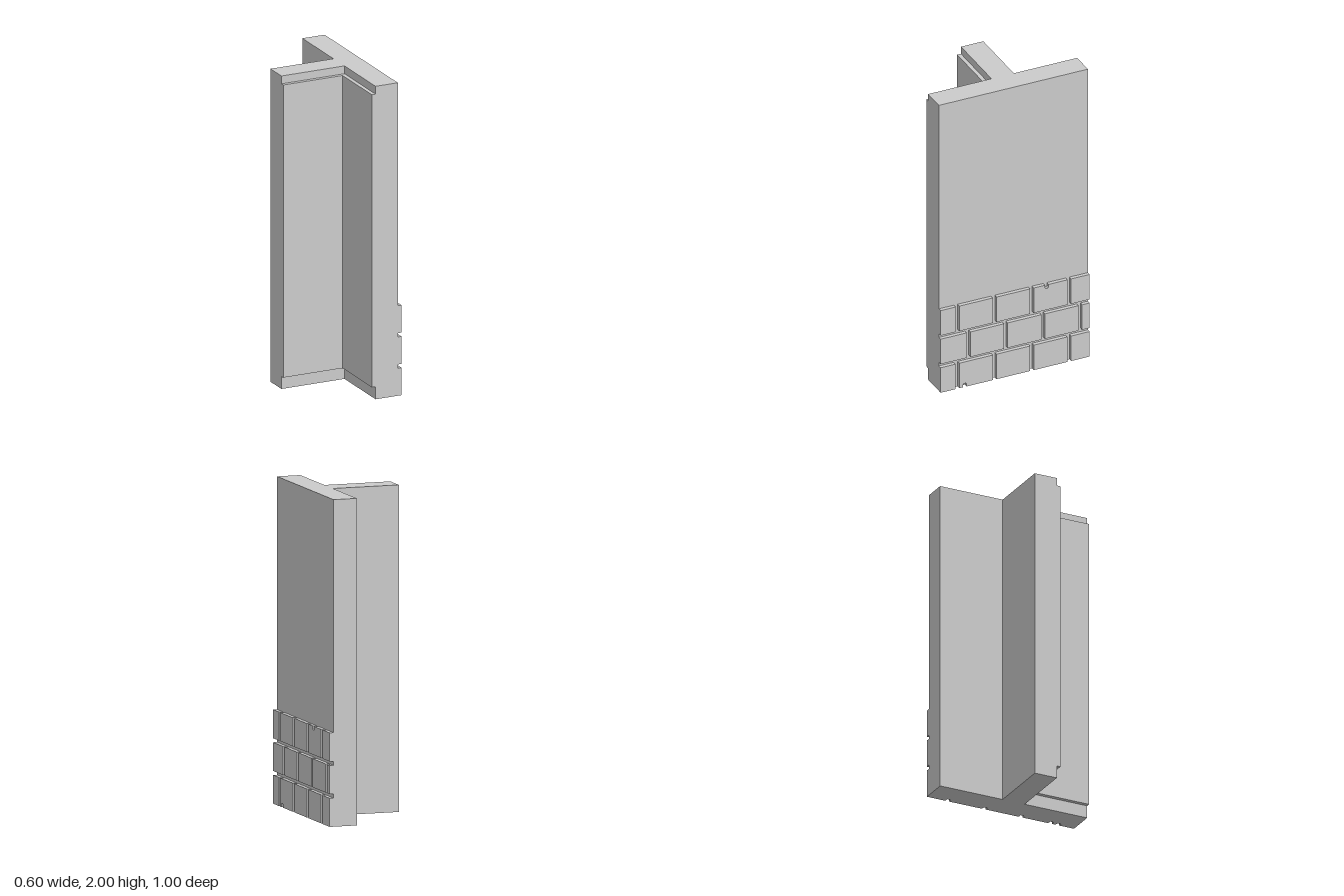
import * as THREE from 'three';

const material = new THREE.MeshStandardMaterial({ color: 0xcccccc, flatShading: true });

// Upright prism from a plan outline of [x, z] points
function prism(name, plan, y0, y1) {
  const shape = new THREE.Shape(plan.map(([x, z]) => new THREE.Vector2(x, -z)));
  const geo = new THREE.ExtrudeGeometry(shape, { depth: y1 - y0, bevelEnabled: false });
  geo.rotateX(-Math.PI / 2).translate(0, y0, 0);
  const mesh = new THREE.Mesh(geo, material);
  mesh.name = name;
  return mesh;
}

// Brick on the outer wall face; u runs along -z. A notch cuts into the top or bottom edge.
function brick(u0, u1, y0, y1, notch) {
  const pts = [[u0, y0]];
  const cut = (edge, dir, a, b) => {
    const s = Math.sign(b - a) * 0.006;
    pts.push([a, edge], [a, edge + dir * 0.019], [a + s, edge + dir * 0.025],
      [b - s, edge + dir * 0.025], [b, edge + dir * 0.019], [b, edge]);
  };
  if (notch?.side === 'bottom') cut(y0, 1, notch.a, notch.b);
  pts.push([u1, y0], [u1, y1]);
  if (notch?.side === 'top') cut(y1, -1, notch.b, notch.a);
  pts.push([u0, y1]);
  const shape = new THREE.Shape(pts.map(([u, y]) => new THREE.Vector2(u, y)));
  const geo = new THREE.ExtrudeGeometry(shape, { depth: 0.025, bevelEnabled: false });
  geo.rotateY(Math.PI / 2).translate(0.275, 0, 0);
  const mesh = new THREE.Mesh(geo, material);
  mesh.name = 'brick';
  return mesh;
}

export function createModel() {
  const model = new THREE.Group();
  model.name = 'wallJunction';

  // T-shaped wall core
  model.add(prism('wallCore', [
    [0.275, 0.5], [0.275, -0.5], [0.125, -0.5], [0.125, -0.075],
    [-0.3, -0.075], [-0.3, 0.075], [0.125, 0.075], [0.125, 0.5],
  ], 0, 2));

  // Thin lining around the front inner corner, short of floor and top
  model.add(prism('cornerLining', [
    [0.125, 0.5], [0.125, 0.075], [-0.3, 0.075], [-0.3, 0.1], [0.1, 0.1], [0.1, 0.5],
  ], 0.08, 1.95));

  // Three courses of bricks in running bond, joints 0.025 wide
  const bricks = new THREE.Group();
  bricks.name = 'brickCourses';
  const notches = {
    '0,1': { side: 'bottom', a: -0.35, b: -0.325 },
    '2,3': { side: 'top', a: 0.2, b: 0.225 },
  };
  for (let row = 0; row < 3; row++) {
    const start = row === 1 ? -0.55 : -0.625;
    for (let i = 0; i < 5; i++) {
      const u0 = Math.max(-0.5, start + i * 0.25);
      const u1 = Math.min(0.5, start + i * 0.25 + 0.225);
      bricks.add(brick(u0, u1, row * 0.2, row * 0.2 + 0.175, notches[`${row},${i}`]));
    }
  }
  model.add(bricks);
  return model;
}
